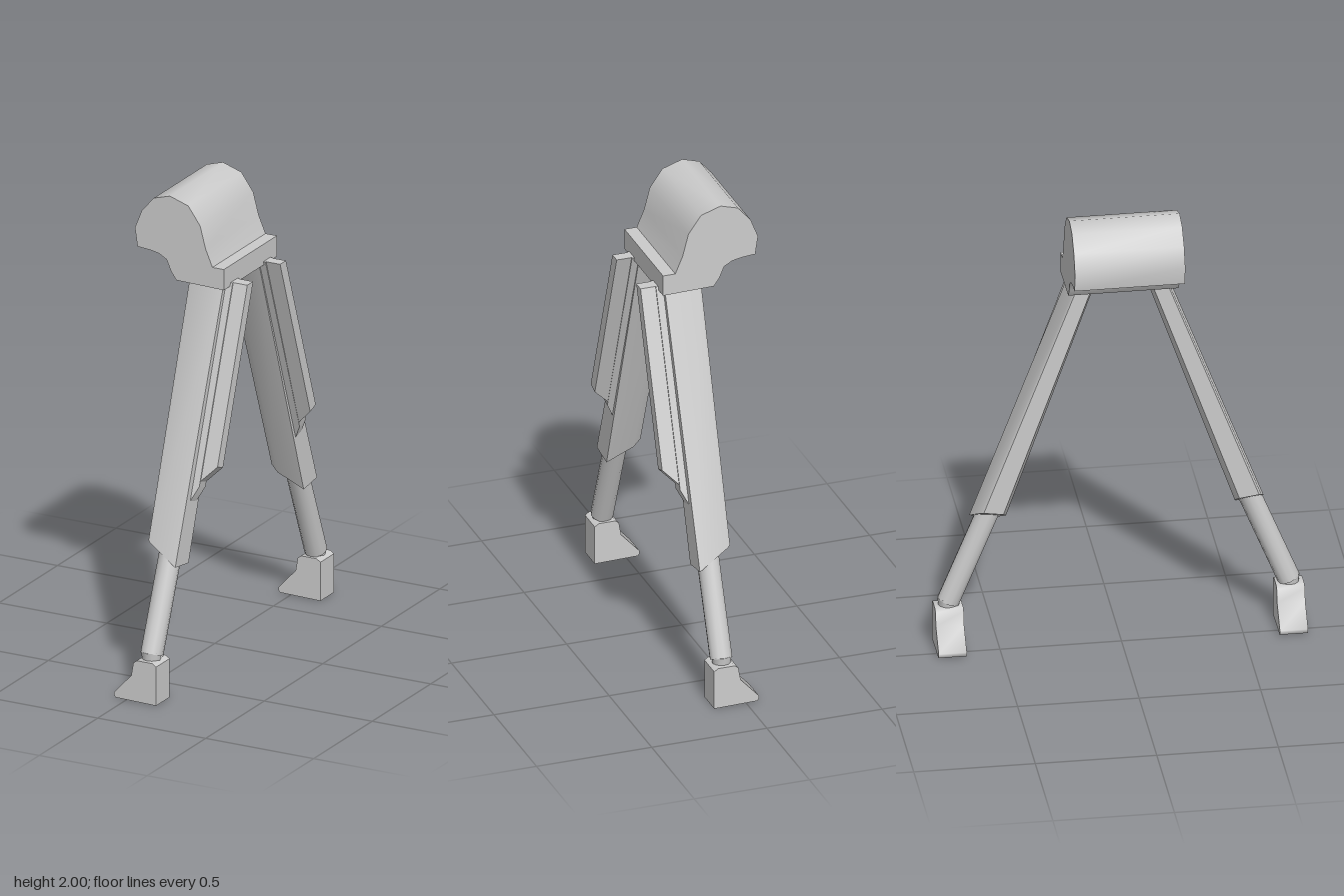
import * as THREE from 'three';
import { toCreasedNormals } from 'three/addons/utils/BufferGeometryUtils.js';

const material = new THREE.MeshStandardMaterial({ color: 0xcccccc });
const TOP = 1.65;

function addMesh(parent, name, geometry, crease = 0.75) {
  const mesh = new THREE.Mesh(toCreasedNormals(geometry, crease), material);
  mesh.name = name;
  parent.add(mesh);
  return mesh;
}

// Profile in the x-y plane, extruded along z and centred on zMid
function profileGeometry(points, depth, zMid) {
  const shape = new THREE.Shape(points.map(([x, y]) => new THREE.Vector2(x, y)));
  const geometry = new THREE.ExtrudeGeometry(shape, { depth, bevelEnabled: false });
  return geometry.translate(0, 0, zMid - depth / 2);
}

// Prism that leans along the leg, with a flat top and a slanted lower cut.
// section: [x, t] with t from -1 (inner edge) to 1 (outer edge)
function leaningPrism(section, side, { cut, top, bottom }) {
  const ring = side > 0 ? section : [...section].reverse();
  const point = (x, t, y) => {
    const k = (TOP - y) / 1.11;
    const inner = THREE.MathUtils.lerp(top[0], bottom[0], k);
    const outer = THREE.MathUtils.lerp(top[1], bottom[1], k);
    const z = (inner + outer) / 2 + t * (outer - inner) / 2;
    return [x, y, side * z];
  };
  const low = ring.map(([x, t]) => point(x, t, cut(x) + t * 0.008));
  const high = ring.map(([x, t]) => point(x - (0.145 - x > 0.1 ? 0.015 : 0), t, TOP));
  const positions = [];
  const n = ring.length;
  for (let i = 0; i < n; i++) {
    const j = (i + 1) % n;
    positions.push(...low[i], ...low[j], ...high[j], ...low[i], ...high[j], ...high[i]);
    if (i > 0 && i < n - 1) {
      positions.push(...high[0], ...high[i], ...high[j], ...low[0], ...low[j], ...low[i]);
    }
  }
  const geometry = new THREE.BufferGeometry();
  geometry.setAttribute('position', new THREE.Float32BufferAttribute(positions, 3));
  geometry.computeVertexNormals();
  return geometry;
}

const rectangle = (x0, x1) => [[x0, -1], [x0, 1], [x1, 1], [x1, -1]];

function createLeg(side) {
  const leg = new THREE.Group();
  leg.name = side > 0 ? 'frontLeg' : 'backLeg';

  // Upper casing with softened edges on its -x side
  const casing = [[0, -0.6], [0, 0.85], [0.012, 1], [0.145, 1], [0.145, -1], [0.035, -1]];
  addMesh(leg, 'upperCasing', leaningPrism(casing, side, {
    cut: (x) => 0.625 - 0.57 * x, top: [0.105, 0.19], bottom: [0.49, 0.61],
  }));

  // Two stepped rails on the +x side
  addMesh(leg, 'innerRail', leaningPrism(rectangle(0.135, 0.175), side, {
    cut: (x) => 0.79 + 2 * (x - 0.145), top: [0.11, 0.17], bottom: [0.51, 0.57],
  }));
  addMesh(leg, 'outerRail', leaningPrism(rectangle(0.17, 0.24), side, {
    cut: (x) => 0.87 + (x - 0.175), top: [0.115, 0.165], bottom: [0.51, 0.565],
  }));

  // Round lower bar that slides out of the casing
  const from = new THREE.Vector3(0.088, 0.195, side * 0.7);
  const to = new THREE.Vector3(0.088, 0.66, side * 0.51);
  const direction = to.clone().sub(from);
  const bar = addMesh(leg, 'lowerBar',
    new THREE.CylinderGeometry(0.047, 0.047, direction.length(), 12));
  bar.position.copy(from).add(to).multiplyScalar(0.5);
  bar.quaternion.setFromUnitVectors(new THREE.Vector3(0, 1, 0), direction.normalize());

  // Ankle
  const ankle = addMesh(leg, 'ankle', new THREE.CylinderGeometry(0.042, 0.037, 0.05, 12));
  ankle.position.set(0.088, 0.187, side * 0.703);

  // Wedge-shaped foot with its toe towards -x
  const footProfile = [
    [-0.055, 0.015], [-0.048, 0.004], [0.14, 0], [0.14, 0.168],
    [0.122, 0.18], [0.05, 0.18], [0.035, 0.168], [0.025, 0.112], [-0.055, 0.025],
  ];
  addMesh(leg, 'foot', profileGeometry(footProfile, 0.116, side * 0.702));
  return leg;
}

export function createModel() {
  const model = new THREE.Group();
  model.name = 'twoLeggedStand';

  // Curved head with a ledge over the legs
  const headProfile = [
    [-0.235, 1.755], [-0.175, 1.75], [-0.135, 1.742], [-0.1, 1.722], [-0.08, 1.675], [-0.055, 1.64],
    [0.165, 1.635], [0.165, 1.725], [0.112, 1.725], [0.08, 1.8], [0.055, 1.895],
    [0, 1.972], [-0.085, 2], [-0.16, 1.978], [-0.215, 1.915], [-0.247, 1.835],
  ];
  addMesh(model, 'head', profileGeometry(headProfile, 0.454, 0), 0.9);

  for (const side of [1, -1]) model.add(createLeg(side));
  return model;
}
